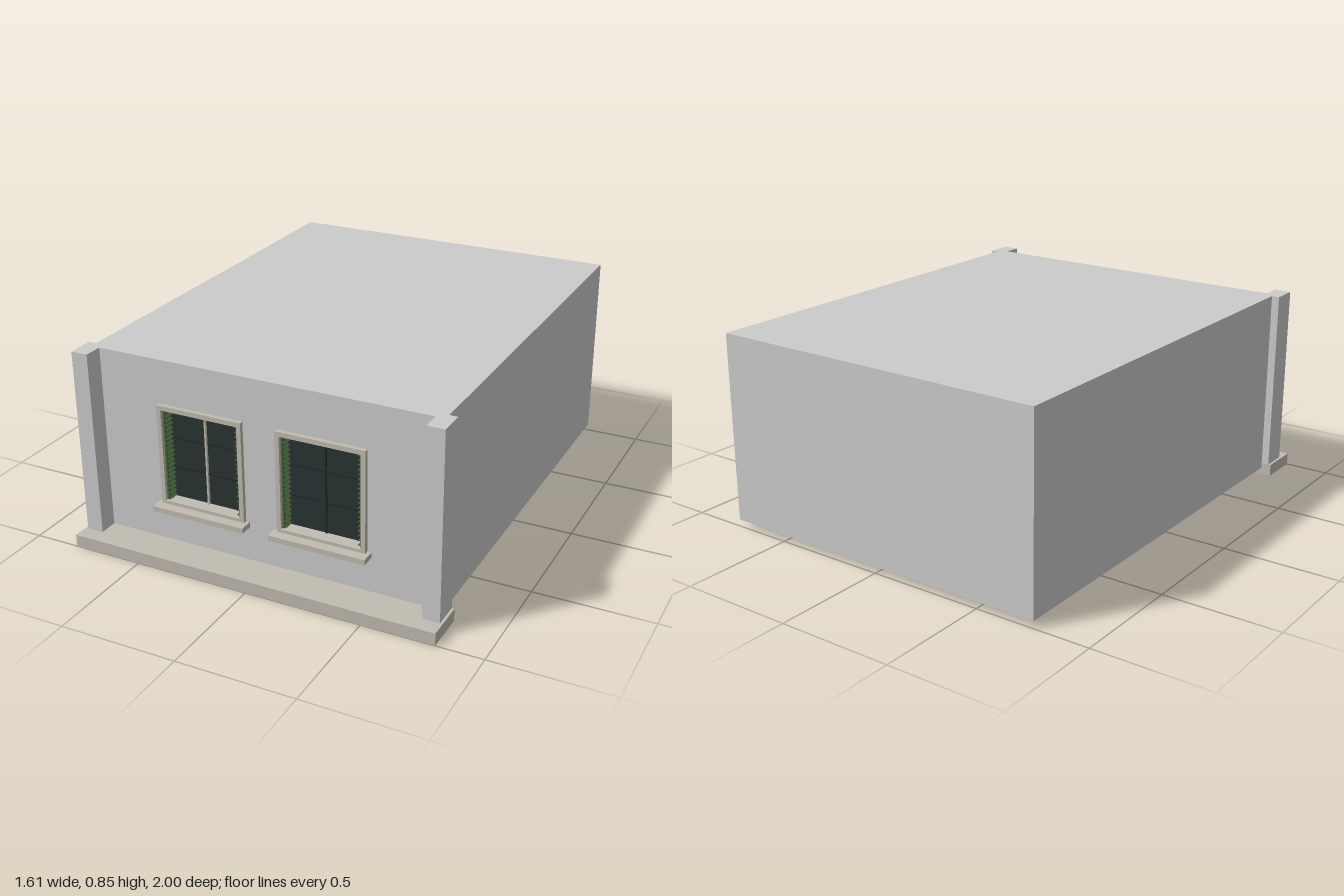
import * as THREE from 'three';

const wallMat = new THREE.MeshStandardMaterial({ color: 0xcccccc });
const stoneMat = new THREE.MeshStandardMaterial({ color: 0xc2bcb0 });
const glassMat = new THREE.MeshStandardMaterial({ color: 0x2a3233 });
const barMat = new THREE.MeshStandardMaterial({ color: 0x1f2626 });
const shutterMat = new THREE.MeshStandardMaterial({ color: 0x48663c });

// Box given by its minimum and maximum corners
function box(name, mat, x0, x1, y0, y1, z0, z1) {
  const mesh = new THREE.Mesh(new THREE.BoxGeometry(x1 - x0, y1 - y0, z1 - z0), mat);
  mesh.position.set((x0 + x1) / 2, (y0 + y1) / 2, (z0 + z1) / 2);
  mesh.name = name;
  return mesh;
}

function rect(Type, x0, x1, y0, y1) {
  return new Type().setFromPoints([
    new THREE.Vector2(x0, y0), new THREE.Vector2(x1, y0),
    new THREE.Vector2(x1, y1), new THREE.Vector2(x0, y1), new THREE.Vector2(x0, y0),
  ]);
}

// Flat panel with rectangular holes, extruded from z0 to z1
function panel(name, mat, outer, holes, z0, z1) {
  const shape = rect(THREE.Shape, ...outer);
  for (const h of holes) shape.holes.push(rect(THREE.Path, ...h));
  const mesh = new THREE.Mesh(
    new THREE.ExtrudeGeometry(shape, { depth: z1 - z0, bevelEnabled: false }), mat);
  mesh.position.z = z0;
  mesh.name = name;
  return mesh;
}

const outerFrame = (cx) => [cx - 0.191, cx + 0.191, 0.225, 0.66];
const opening = (cx) => [cx - 0.172, cx + 0.172, 0.24, 0.64];

function createWindow(cx, name, hasPost) {
  const g = new THREE.Group();
  g.name = name;
  const [x0, x1, y0, y1] = opening(cx);
  g.add(panel('windowFrame', stoneMat, outerFrame(cx), [[x0, x1, y0, y1]], 0.8, 0.868));
  g.add(box('windowSill', stoneMat, cx - 0.208, cx + 0.208, 0.203, 0.226, 0.84, 0.91));
  g.add(box('glass', glassMat, x0, x1, y0, y1, 0.8, 0.812));

  // Glazing bars
  for (const y of [0.373, 0.505])
    g.add(box('glazingBar', barMat, x0, x1, y - 0.002, y + 0.002, 0.81, 0.816));
  g.add(hasPost
    ? box('centrePost', stoneMat, cx - 0.004, cx + 0.004, y0, y1, 0.81, 0.822)
    : box('centreBar', barMat, cx - 0.003, cx + 0.003, y0, y1, 0.81, 0.818));

  // Louvred shutters folded back against the jambs
  for (const side of [-1, 1]) {
    const shutter = new THREE.Group();
    shutter.name = side < 0 ? 'shutterRight' : 'shutterLeft';
    const xj = cx + side * 0.167;
    shutter.add(box('shutterPanel', shutterMat, xj - 0.004, xj + 0.004, y0, y1, 0.812, 0.856));
    const count = 20;
    for (let i = 0; i < count; i++) {
      const y = y0 + ((i + 0.5) * (y1 - y0)) / count;
      const slat = box('slat', shutterMat, -0.008, 0.008, -0.002, 0.002, 0.814, 0.854);
      slat.position.x = xj - side * 0.007;
      slat.position.y = y;
      slat.rotation.z = side * 0.6;
      shutter.add(slat);
    }
    g.add(shutter);
  }
  return g;
}

export function createModel() {
  const model = new THREE.Group();
  model.name = 'building';
  const centres = [-0.265, 0.265];

  // Main volume and pierced front wall
  model.add(box('mainBlock', wallMat, -0.76, 0.76, 0.03, 0.848, -1, 0.8));
  model.add(panel('frontWall', wallMat, [-0.76, 0.76, 0.03, 0.848], centres.map(outerFrame), 0.8, 0.85));

  // Corner pilasters and plinth
  for (const s of [-1, 1]) {
    const p = box(s < 0 ? 'pilasterRight' : 'pilasterLeft', wallMat,
      -0.0365, 0.0365, 0.05, 0.848, 0.818, 0.932);
    p.position.x = s * 0.7575;
    model.add(p);
  }
  model.add(box('plinth', stoneMat, -0.805, 0.805, 0, 0.053, 0.818, 1));

  model.add(createWindow(centres[0], 'windowRight', true));
  model.add(createWindow(centres[1], 'windowLeft', false));
  return model;
}
